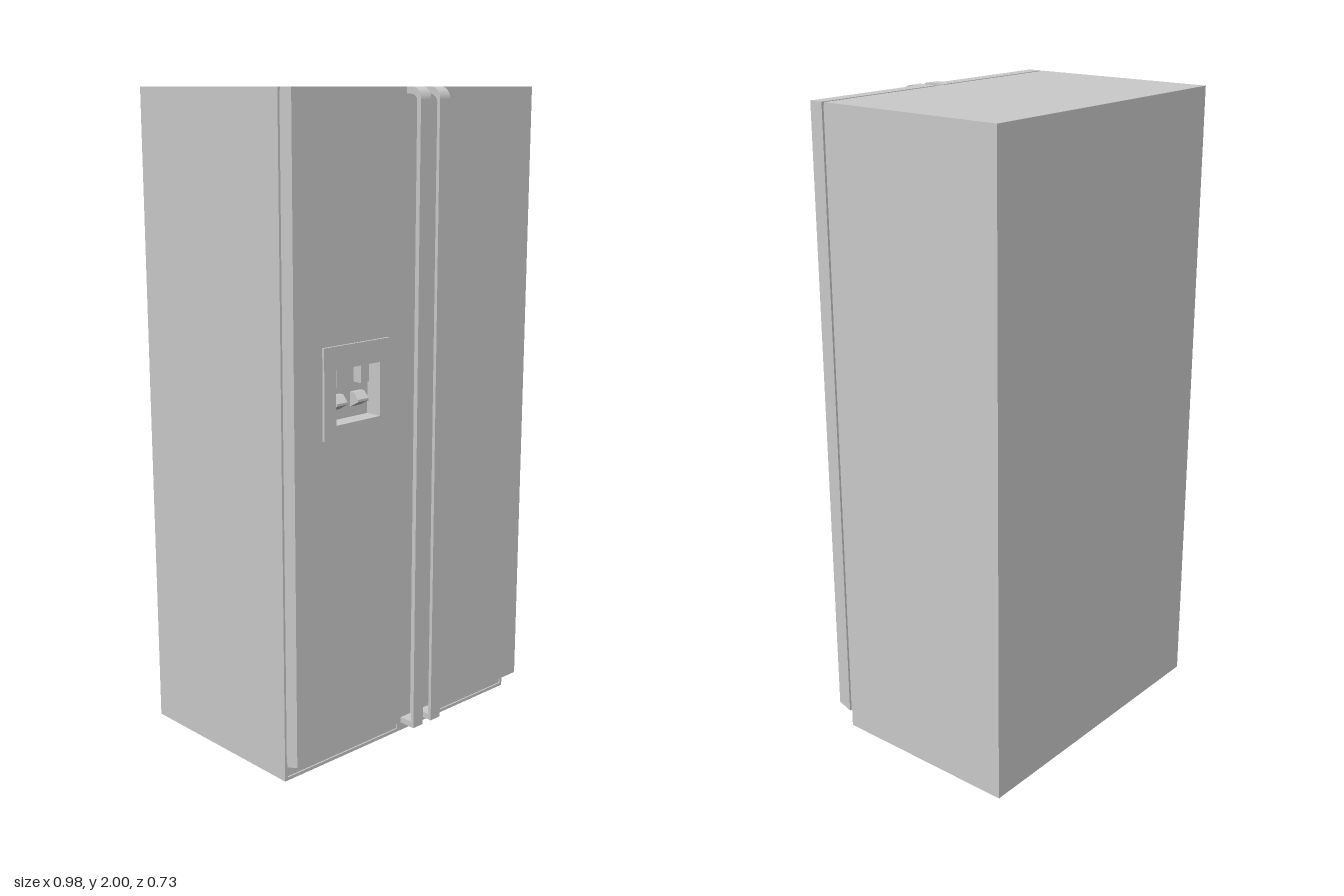
import * as THREE from 'three';

const material = new THREE.MeshStandardMaterial({ color: 0xcccccc });

function rectPath(x0, x1, y0, y1, Type = THREE.Shape) {
  const p = new Type();
  p.moveTo(x0, y0);
  p.lineTo(x1, y0);
  p.lineTo(x1, y1);
  p.lineTo(x0, y1);
  p.closePath();
  return p;
}

export function createModel() {
  const model = new THREE.Group();
  model.name = 'refrigerator';

  function add(name, geometry) {
    const mesh = new THREE.Mesh(geometry, material);
    mesh.name = name;
    model.add(mesh);
    return mesh;
  }

  function box(name, x0, x1, y0, y1, z0, z1) {
    const g = new THREE.BoxGeometry(x1 - x0, y1 - y0, z1 - z0);
    g.translate((x0 + x1) / 2, (y0 + y1) / 2, (z0 + z1) / 2);
    return add(name, g);
  }

  // Flat panel in the xy plane, with rectangular holes [x0, x1, y0, y1]
  function panel(name, rect, holes, z0, z1) {
    const shape = rectPath(...rect);
    for (const h of holes) shape.holes.push(rectPath(...h, THREE.Path));
    const g = new THREE.ExtrudeGeometry(shape, { depth: z1 - z0, bevelEnabled: false });
    g.translate(0, 0, z0);
    return add(name, g);
  }

  // Side profile drawn as (z, y), extruded across x
  function sideProfile(name, shape, x0, x1) {
    const g = new THREE.ExtrudeGeometry(shape, { depth: x1 - x0, bevelEnabled: false, curveSegments: 10 });
    g.rotateY(-Math.PI / 2);
    g.translate(x1, 0, 0);
    return add(name, g);
  }

  const polygon = (points) => new THREE.Shape(points.map(([z, y]) => new THREE.Vector2(z, y)));

  // Cabinet, with two shallow kick plate recesses along the bottom front
  box('cabinet', -0.49, 0.49, 0, 2, -0.365, 0.25);
  panel('cabinetFront', [-0.49, 0.49, 0, 2],
    [[-0.48, -0.02, 0.01, 0.05], [0.02, 0.48, 0.01, 0.05]], 0.25, 0.255);

  // Dispenser opening in the door on the model's right
  const opening = [-0.34, -0.167, 1.07, 1.23];

  // Bowed grip: thin bar with rounded top, returning to the door at both ends
  const grip = new THREE.Shape();
  grip.moveTo(0.31, 0.065);
  grip.lineTo(0.365, 0.065);
  grip.lineTo(0.365, 1.965);
  grip.absarc(0.33, 1.965, 0.035, 0, Math.PI / 2, false);
  grip.lineTo(0.31, 2);
  grip.lineTo(0.31, 1.98);
  grip.lineTo(0.327, 1.98);
  grip.absarc(0.327, 1.953, 0.027, Math.PI / 2, 0, true);
  grip.lineTo(0.354, 0.083);
  grip.lineTo(0.31, 0.083);
  grip.closePath();

  // Doors, gaskets, sloping lower edges and handles
  for (const side of [-1, 1]) {
    const label = side < 0 ? 'right' : 'left';
    const span = (a, b) => (side < 0 ? [-b, -a] : [a, b]);
    const door = span(0.018, 0.49);
    box(label + 'Gasket', ...span(0.018, 0.483), 0.055, 1.992, 0.255, 0.265);
    panel(label + 'Door', [...door, 0.065, 2], side < 0 ? [opening] : [], 0.265, 0.31);
    sideProfile(label + 'DoorLowerEdge',
      polygon([[0.265, 0.05], [0.31, 0.065], [0.265, 0.065]]), ...door);
    sideProfile(label + 'Handle', grip, ...span(0.018, 0.06));
  }

  // Dispenser: surround, spouts and sloped levers
  panel('dispenserFrame', [-0.385, -0.126, 1.03, 1.297], [opening], 0.31, 0.318);
  for (const x of [-0.317, -0.222]) {
    box('dispenserSpout', x, x + 0.033, 1.172, 1.23, 0.265, 0.295);
  }
  for (const x of [-0.319, -0.236]) {
    sideProfile('dispenserLever',
      polygon([[0.265, 1.1], [0.298, 1.118], [0.298, 1.125], [0.28, 1.145], [0.265, 1.145]]),
      x, x + 0.042);
  }

  return model;
}
